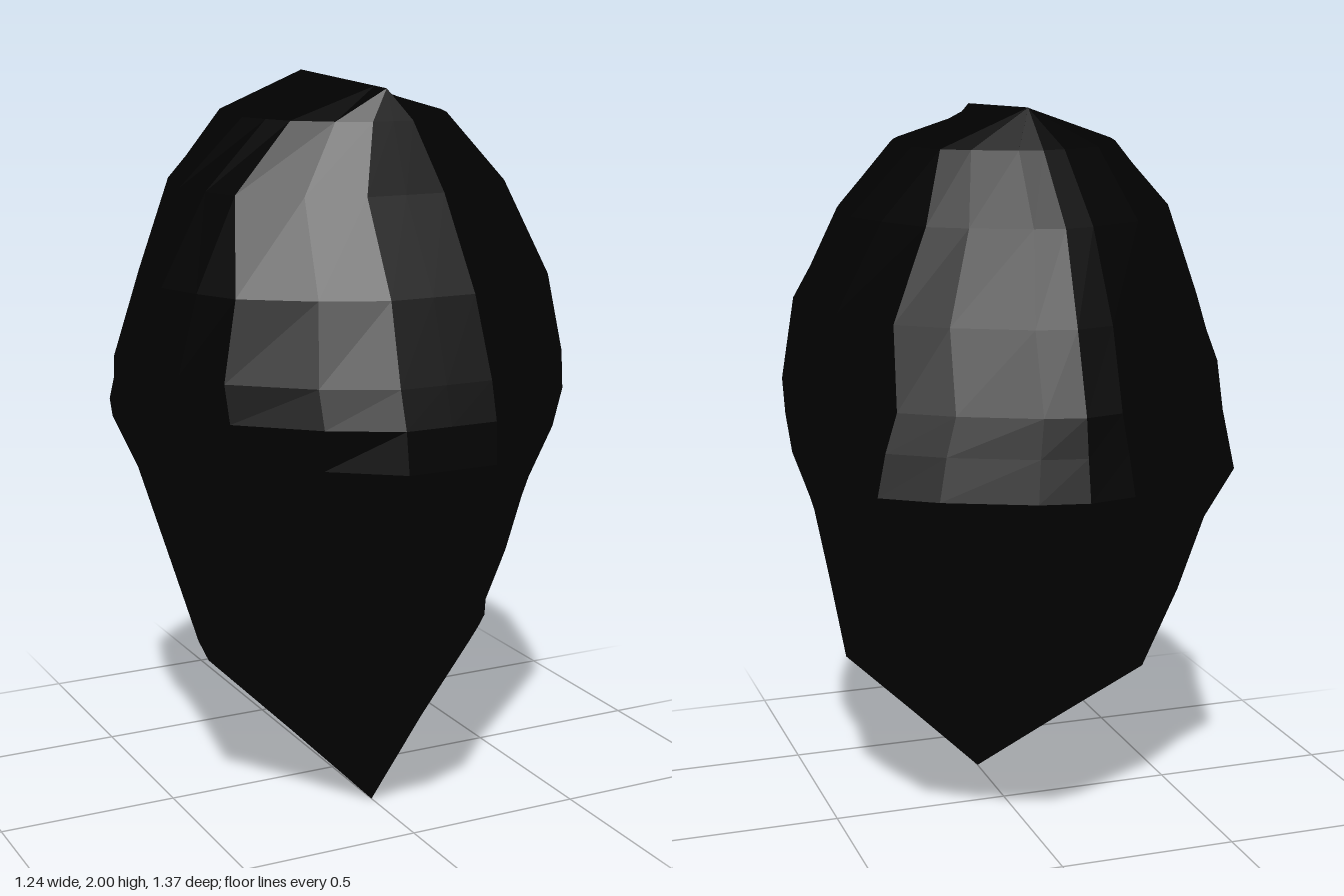
import * as THREE from 'three';

// Half outline of the widest section, back to front: [side ratio, depth ratio]
const HALF = [
  [0, -1], [0.2, -0.96], [0.56, -0.8], [0.78, -0.65], [0.92, -0.3], [1, 0], [0.98, 0.2],
  [0.9, 0.43], [0.8, 0.64], [0.5, 0.86], [0.21, 0.99], [0, 0.99],
];

// Cross-sections: [y, half width, front z, widest z, back z,
//   front pointedness, back pointedness (negative is boxier), hollow depth]
const RINGS = [
  [0.00, 0.00, 0.25, 0.25, 0.25, 0, 0, 0],
  [0.22, 0.215, 0.39, 0.18, -0.07, 0.8, 0, 0],
  [0.44, 0.435, 0.545, 0.12, -0.40, 0.8, 0, 0.01],
  [0.70, 0.495, 0.675, 0.05, -0.56, 0.4, 0, 0.05],
  [0.92, 0.55, 0.69, -0.02, -0.63, 0.1, 0, 0.06],
  [1.06, 0.595, 0.695, -0.06, -0.685, 0, -0.1, 0.03],
  [1.17, 0.612, 0.685, -0.06, -0.665, 0, 0.05, 0],
  [1.27, 0.62, 0.655, -0.06, -0.65, 0, 0.2, 0],
  [1.48, 0.57, 0.58, 0.03, -0.58, 0, 0.12, 0],
  [1.72, 0.45, 0.43, -0.08, -0.49, -0.18, 0.15, 0],
  [1.90, 0.31, 0.355, 0.00, -0.32, 0.12, 0, 0],
  [2.00, 0.00, 0.32, -0.19, -0.20, 0, 0, 0],
];

// Mirror the half outline into a closed loop
const LOOP = [...HALF, ...HALF.slice(1, -1).reverse().map(([x, z]) => [-x, z])];

function ringPoint([y, w, front, mid, back, frontPoint, backPoint, hollow], [u, v]) {
  let z = mid + v * (v > 0 ? front - mid : mid - back);
  // Sharpen or square off the section between its side and its centre line
  const sharp = v > 0 ? frontPoint : backPoint;
  const x = THREE.MathUtils.lerp(u, Math.sign(u) * (1 - Math.abs(v)), sharp) * w;
  // Shallow paired hollows either side of the front ridge
  if (v > 0.6 && Math.abs(u) > 0.4) z -= hollow;
  // The crown ridge dips slightly at the front
  if (w === 0 && v > 0 && y > 1) y -= 0.02 * v;
  return [x, y, z];
}

export function createModel() {
  const n = LOOP.length;
  const positions = RINGS.flatMap(r => LOOP.flatMap(p => ringPoint(r, p)));
  const index = [];
  for (let i = 0; i < RINGS.length - 1; i++) {
    for (let j = 0; j < n; j++) {
      const a = i * n + j, b = i * n + (j + 1) % n;
      const c = a + n, d = b + n;
      // The base collapses to a point, so its first triangles are left out
      if (i > 0) index.push(a, c, b);
      index.push(b, c, d);
    }
  }
  const indexed = new THREE.BufferGeometry();
  indexed.setAttribute('position', new THREE.Float32BufferAttribute(positions, 3));
  indexed.setIndex(index);
  const geometry = indexed.toNonIndexed();
  geometry.computeVertexNormals();

  // One faceted shell with a ridge on top and a pointed base
  const shell = new THREE.Mesh(
    geometry,
    new THREE.MeshStandardMaterial({ color: 0x010101, flatShading: true }),
  );
  shell.name = 'facetedShell';
  const group = new THREE.Group();
  group.name = 'pointedHead';
  group.add(shell);
  return group;
}
